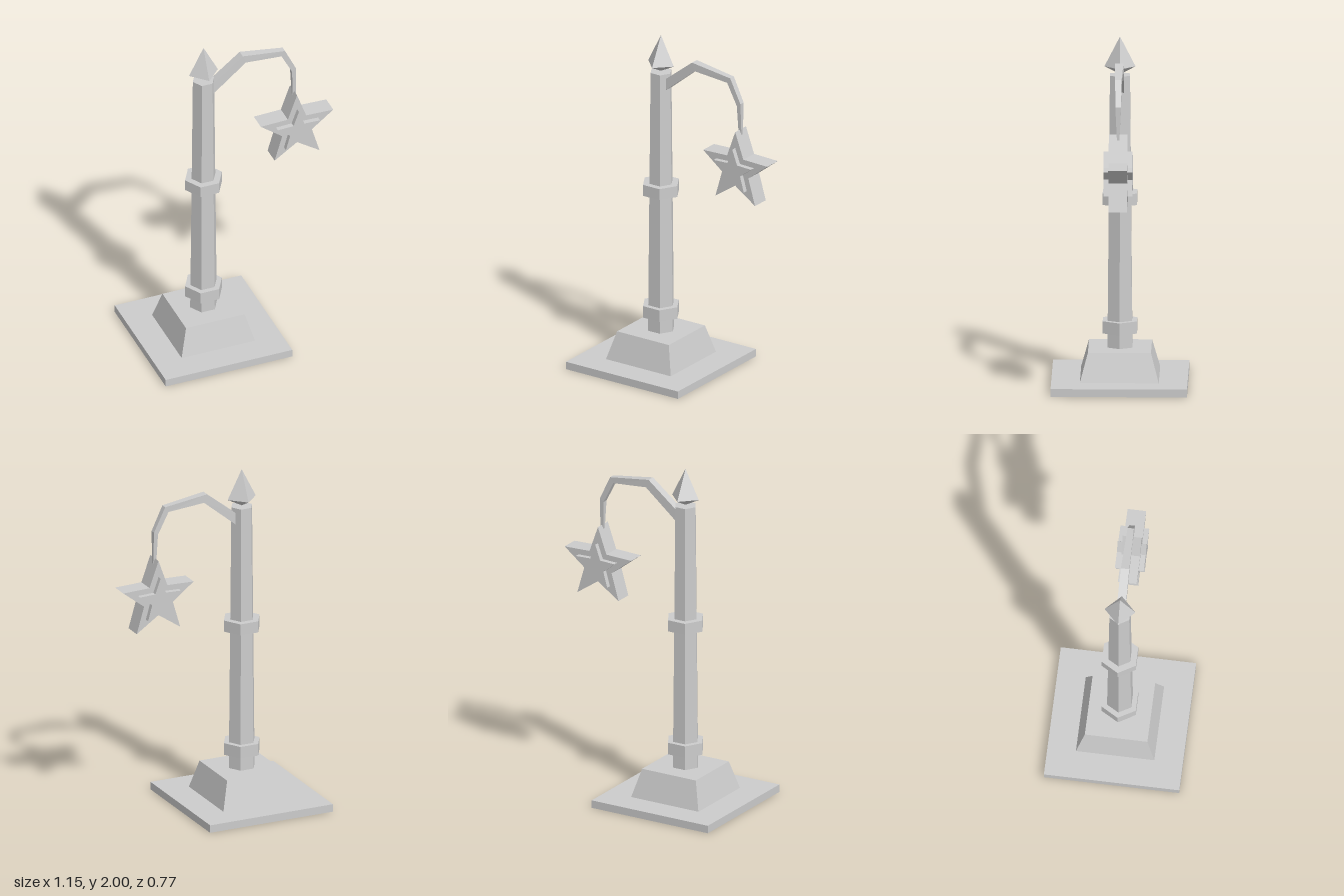
import * as THREE from 'three';

const POST_X = -0.195;

export function createModel() {
  const group = new THREE.Group();
  const grey = new THREE.MeshStandardMaterial({ color: 0xcccccc, flatShading: true });
  grey.name = 'lightGrey';

  const add = (name, geometry, x = 0, y = 0) => {
    const mesh = new THREE.Mesh(geometry, grey);
    mesh.name = name;
    mesh.position.set(x, y, 0);
    group.add(mesh);
  };

  // Prism or frustum standing on y0; turn rotates its corners
  const post = (name, sides, rTop, rBottom, y0, y1, turn) => {
    const g = new THREE.CylinderGeometry(rTop, rBottom, y1 - y0, sides);
    g.rotateY(turn);
    add(name, g, POST_X, (y0 + y1) / 2);
  };

  // Base
  add('basePlate', new THREE.BoxGeometry(0.77, 0.045, 0.77), POST_X, 0.0225);
  post('pedestal', 4, 0.178 * Math.SQRT2, 0.223 * Math.SQRT2, 0.045, 0.21, Math.PI / 4);

  // Hexagonal pole with two collars
  post('pole', 6, 0.065, 0.081, 0.21, 1.78, Math.PI / 6);
  post('lowerCollar', 6, 0.112, 0.112, 0.295, 0.365, Math.PI / 6);
  post('upperCollar', 6, 0.112, 0.112, 1.038, 1.105, Math.PI / 6);

  // Pointed finial
  post('finialTip', 4, 0, 0.088, 1.828, 2, 0);
  post('finialUnderside', 4, 0.088, 0, 1.782, 1.828, 0);

  // Curved arm: [upper x, upper y, lower x, lower y, half depth] at each bend
  add('arm', armGeometry([
    [-0.165, 1.736, -0.165, 1.666, 0.025],
    [0.035, 1.894, 0.053, 1.846, 0.024],
    [0.294, 1.857, 0.273, 1.825, 0.018],
    [0.363, 1.714, 0.338, 1.698, 0.016],
    [0.364, 1.52, 0.345, 1.52, 0.007],
  ]));

  // Star lantern with a smaller raised star on both faces
  add('star', starGeometry(0.232, 0.095, 0.106), 0.353, 1.323);
  add('raisedStar', starGeometry(0.135, 0.056, 0.164), 0.353, 1.323);

  return group;
}

// Four-sided bar swept through rectangular sections, closed at both ends
function armGeometry(sections) {
  const positions = [];
  const index = [];
  for (const [ux, uy, lx, ly, d] of sections) {
    positions.push(ux, uy, d, ux, uy, -d, lx, ly, -d, lx, ly, d);
  }
  const quad = (a, b, c, d) => index.push(a, b, c, a, c, d);
  const last = (sections.length - 1) * 4;
  for (let s = 0; s < last; s += 4) {
    for (let i = 0; i < 4; i++) {
      const j = (i + 1) % 4;
      quad(s + i, s + 4 + i, s + 4 + j, s + j);
    }
  }
  quad(0, 1, 2, 3);
  quad(last + 3, last + 2, last + 1, last);
  const g = new THREE.BufferGeometry();
  g.setAttribute('position', new THREE.Float32BufferAttribute(positions, 3));
  g.setIndex(index);
  const flat = g.toNonIndexed();
  flat.computeVertexNormals();
  return flat;
}

// Five-pointed star prism centred on its own origin
function starGeometry(outer, inner, depth) {
  const points = [];
  for (let i = 0; i < 10; i++) {
    const r = i % 2 ? inner : outer;
    const a = Math.PI / 2 + (i * Math.PI) / 5;
    points.push(new THREE.Vector2(r * Math.cos(a), r * Math.sin(a)));
  }
  const g = new THREE.ExtrudeGeometry(new THREE.Shape(points), { depth, bevelEnabled: false });
  g.translate(0, 0, -depth / 2);
  return g;
}
